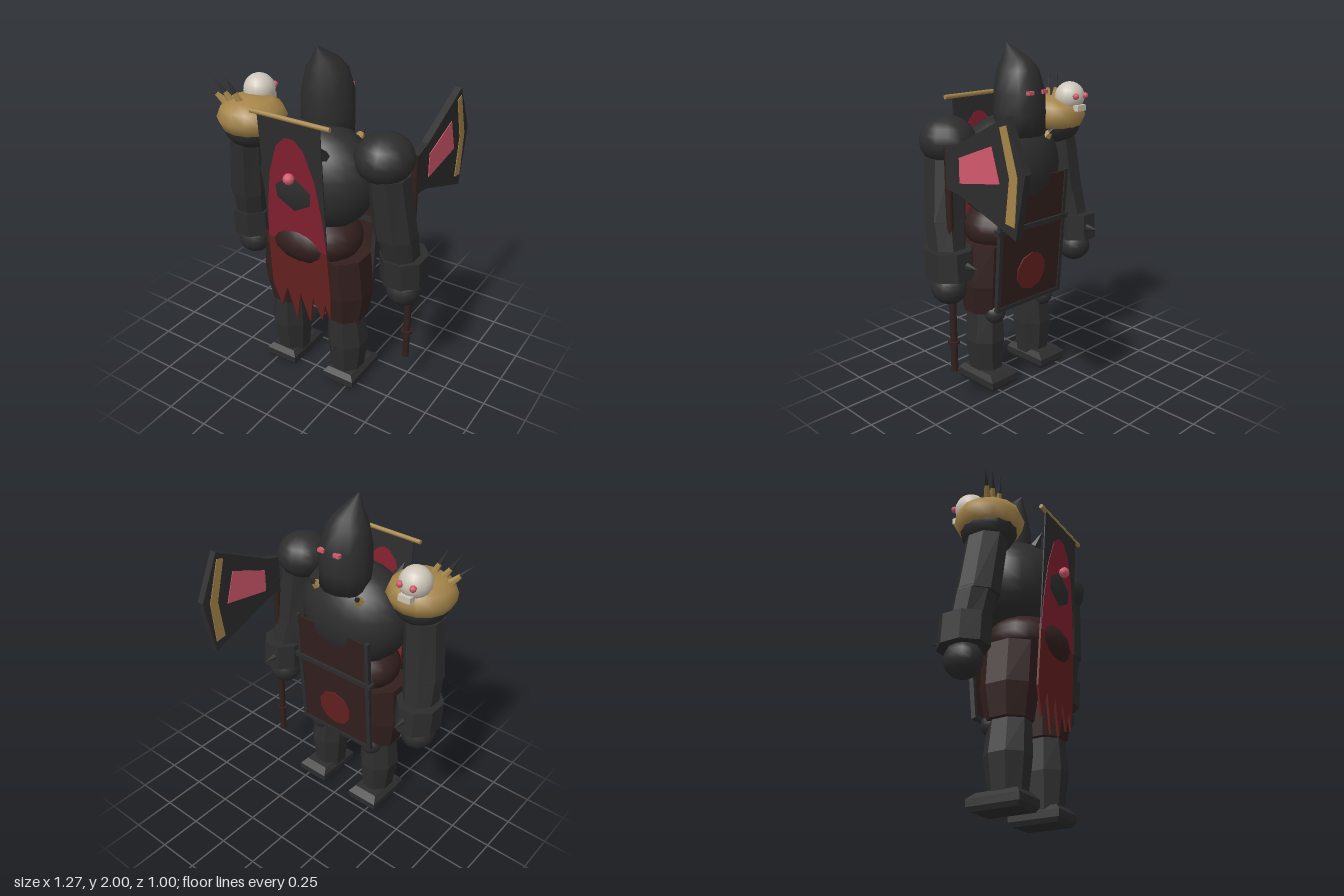
import * as THREE from 'three';

const mat = (name, color, side = THREE.FrontSide) => {
  const m = new THREE.MeshStandardMaterial({ color, side });
  m.name = name;
  return m;
};

export function createModel() {
  const root = new THREE.Group();
  root.name = 'armouredGiant';
  const iron = mat('darkIron', 0x2d2d2e);
  const brown = mat('darkBrown', 0x32201e);
  const gold = mat('oldGold', 0xa5854a);
  const pink = mat('pinkGlow', 0xd2596b);
  const crimson = mat('crimsonCloth', 0x842030, THREE.DoubleSide);
  const darkRed = mat('darkRedCloth', 0x64211f, THREE.DoubleSide);
  const bone = mat('bone', 0xcdc5b8);

  const add = (name, geo, material, pos = [0, 0, 0], parent = root) => {
    const m = new THREE.Mesh(geo, material);
    m.name = name;
    m.position.set(...pos);
    parent.add(m);
    return m;
  };
  const flat = (g) => {
    const f = g.index ? g.toNonIndexed() : g;
    f.computeVertexNormals();
    return f;
  };
  const ball = (rx, ry = rx, rz = rx, w = 16, h = 12) => new THREE.SphereGeometry(1, w, h).scale(rx, ry, rz);
  const box = (w, h, d) => new THREE.BoxGeometry(w, h, d);

  // Closed faceted body through elliptical rings [y, cx, cz, rx, rz], bottom to top
  const loft = (rings, n = 8, smooth = false) => {
    const p = [], idx = [];
    for (const [y, cx, cz, rx, rz] of rings)
      for (let j = 0; j < n; j++) {
        const a = ((j + 0.5) / n) * Math.PI * 2;
        p.push(cx + rx * Math.cos(a), y, cz + rz * Math.sin(a));
      }
    const last = rings.length - 1;
    for (const r of [rings[0], rings[last]]) p.push(r[1], r[0], r[2]);
    const c0 = rings.length * n;
    for (let j = 0; j < n; j++) {
      const k = (j + 1) % n;
      for (let i = 0; i < last; i++) {
        const A = i * n + j, B = i * n + k, C = A + n, D = B + n;
        idx.push(A, C, B, C, D, B);
      }
      idx.push(c0, j, k, c0 + 1, last * n + k, last * n + j);
    }
    const g = new THREE.BufferGeometry();
    g.setAttribute('position', new THREE.Float32BufferAttribute(p, 3));
    g.setIndex(idx);
    g.computeVertexNormals();
    return smooth ? g : flat(g);
  };

  // Flat plate centred on its own plane
  const plate = (pts, depth) => new THREE.ExtrudeGeometry(
    new THREE.Shape(pts.map(([x, y]) => new THREE.Vector2(x, y))),
    { depth, bevelEnabled: false }).translate(0, 0, -depth / 2);

  // Cone from a base point to a tip; the tip part may take another colour
  const spike = (name, from, to, r, base, tip = base) => {
    const a = new THREE.Vector3(...from), b = new THREE.Vector3(...to);
    const dir = b.clone().sub(a), len = dir.length();
    const g = new THREE.Group();
    g.name = name;
    g.position.copy(a);
    g.quaternion.setFromUnitVectors(new THREE.Vector3(0, 1, 0), dir.normalize());
    add(name + 'Base', flat(new THREE.CylinderGeometry(r * 0.55, r, len * 0.45, 6)), base, [0, len * 0.225, 0], g);
    add(name + 'Tip', flat(new THREE.ConeGeometry(r * 0.55, len * 0.55, 6)), tip, [0, len * 0.725, 0], g);
    root.add(g);
  };

  // Body
  add('torso', ball(0.345, 0.31, 0.25, 20, 14), iron, [0, 1.3, 0.2]);
  add('belly', ball(0.275, 0.17, 0.228, 20, 12), brown, [0, 0.95, 0.222]);
  add('pelvis', box(0.36, 0.2, 0.22), brown, [0, 0.8, 0.21]);

  // Hood, its peak leaning to the rear
  add('hood', loft([
    [1.5, 0, 0.1, 0.15, 0.14], [1.62, 0, 0.1, 0.15, 0.145], [1.74, 0, 0.1, 0.145, 0.145],
    [1.86, 0, 0.11, 0.115, 0.118], [1.915, 0, 0.125, 0.075, 0.09], [2, 0, 0.2, 0.004, 0.004],
  ], 12, true), iron);

  // Paired parts
  for (const s of [-1, 1]) {
    const side = s > 0 ? 'left' : 'right';
    add(side + 'Eye', box(0.04, 0.02, 0.025), pink, [s * 0.052, 1.745, -0.038]);
    add(side + 'Foot', loft([
      [0, s * 0.205, 0.175, 0.125, 0.19], [0.025, s * 0.205, 0.175, 0.145, 0.218],
      [0.065, s * 0.205, 0.175, 0.145, 0.218], [0.095, s * 0.205, 0.185, 0.11, 0.17],
    ], 4), iron);
    add(side + 'Shin', loft([
      [0.07, s * 0.195, 0.2, 0.095, 0.105], [0.28, s * 0.2, 0.205, 0.12, 0.13],
      [0.46, s * 0.19, 0.21, 0.105, 0.12],
    ]), iron);
    add(side + 'Knee', ball(0.065), iron, [s * 0.2, 0.46, 0.115]);
    add(side + 'Thigh', loft([
      [0.465, s * 0.19, 0.21, 0.125, 0.13], [0.64, s * 0.195, 0.215, 0.15, 0.16],
      [0.88, s * 0.18, 0.22, 0.145, 0.165],
    ]), brown);
    add(side + 'Shoulder', ball(0.155, 0.135, 0.162, 14, 10), iron, [s * 0.42, 1.505, 0.225]);
    add(side + 'UpperArm', loft([
      [1.07, s * 0.482, 0.195, 0.12, 0.12], [1.42, s * 0.445, 0.225, 0.11, 0.12],
    ]), iron);
    add(side + 'Forearm', loft([
      [0.88, s * 0.505, 0.15, 0.1, 0.11], [1.09, s * 0.485, 0.19, 0.115, 0.115],
    ]), iron);
    add(side + 'Cuff', loft([
      [0.775, s * 0.51, 0.13, 0.132, 0.145], [0.935, s * 0.51, 0.14, 0.132, 0.145],
    ]), iron);
    add(side + 'Hand', ball(0.1, 0.1, 0.105, 12, 10), iron, [s * 0.515, 0.71, 0.135]);
    spike(side + 'CuffSpike', [s * 0.49, 0.855, 0.01], [s * 0.49, 0.855, -0.08], 0.024, iron);
    spike(side + 'BackSpike', [s * 0.15, 1.5, 0.37], [s * 0.165, 1.57, 0.42], 0.032, iron);
    spike(side + 'ChestSpike', [s * 0.15, 1.48, 0.03], [s * 0.16, 1.53, -0.02], 0.03, gold, iron);
  }

  // Pauldron with a row of spikes
  const profile = [[0, 1.45], [0.1, 1.455], [0.165, 1.49], [0.195, 1.55], [0.17, 1.61], [0.115, 1.65], [0, 1.665]];
  add('pauldron', new THREE.LatheGeometry(profile.map(([r, y]) => new THREE.Vector2(r, y)), 14), gold, [-0.415, 0, 0.225]);
  for (const [x, tx, ty] of [[-0.54, -0.64, 1.73], [-0.485, -0.57, 1.775], [-0.425, -0.49, 1.79]])
    spike('pauldronSpike', [x, 1.62, 0.29], [tx, ty, 0.34], 0.024, gold, iron);

  // Skull ornament
  add('skull', ball(0.09), bone, [-0.44, 1.665, 0.12]);
  add('skullJaw', box(0.075, 0.035, 0.05), bone, [-0.44, 1.605, 0.045]);
  for (const x of [-0.482, -0.4]) add('skullEye', ball(0.019, 0.019, 0.019, 8, 6), pink, [x, 1.675, 0.035]);

  // Hanging banner, slightly tilted
  const banner = new THREE.Group();
  banner.name = 'banner';
  banner.position.z = 0.334;
  banner.rotation.x = 0.074;
  root.add(banner);
  add('bannerPanel', plate([[-0.19, 0.9], [0.19, 0.9], [0.19, 1.69], [-0.19, 1.69]], 0.006), iron, [0, 0, 0], banner);
  const arch = [[0.19, 0.96], [0.175, 1.15], [0.14, 1.38], [0.085, 1.54], [0.035, 1.59]];
  add('bannerArch', plate([...arch, [0, 1.6], ...arch.map(([x, y]) => [-x, y]).reverse()], 0.012), crimson, [0, 0, 0], banner);
  const teeth = [[-0.195, 0.64], [-0.145, 0.48], [-0.095, 0.63], [-0.04, 0.42], [-0.005, 0.62],
    [0.05, 0.43], [0.08, 0.62], [0.135, 0.48], [0.16, 0.6], [0.19, 0.5], [0.2, 0.66]];
  add('bannerFringe', plate([...teeth, [0.19, 0.96], [-0.19, 0.96]], 0.012), darkRed, [0, 0, 0], banner);
  add('bannerRod', new THREE.CylinderGeometry(0.013, 0.013, 0.48, 8).rotateZ(Math.PI / 2), gold, [0.005, 1.695, 0.455]);
  add('bannerGem', ball(0.031, 0.031, 0.031, 8, 6), pink, [0, 1.375, 0.469]);

  // Framed tabard plate with a disc
  const tabard = new THREE.Group();
  tabard.name = 'tabard';
  tabard.position.set(0, 0.5, 0.035);
  tabard.rotation.x = -0.075;
  root.add(tabard);
  add('tabardPanel', box(0.5, 0.76, 0.014), brown, [0, 0.39, 0], tabard);
  for (const s of [-1, 1]) add('tabardSideFrame', box(0.025, 0.78, 0.026), iron, [s * 0.25, 0.39, 0], tabard);
  add('tabardBottomFrame', box(0.52, 0.025, 0.026), iron, [0, 0.012, 0], tabard);
  add('tabardBelt', box(0.56, 0.03, 0.04), iron, [0, 0.49, 0], tabard);
  add('tabardDisc', new THREE.CylinderGeometry(0.115, 0.115, 0.008, 10).rotateX(Math.PI / 2), darkRed, [0, 0.2, -0.011], tabard);

  // Axe, drawn as [z, y] outlines and stood across x
  const axe = new THREE.Group();
  axe.name = 'axe';
  axe.position.x = 0.525;
  root.add(axe);
  const blade = (name, pts, depth, m) =>
    add(name, plate(pts.map(([z, y]) => [-z, y]), depth).rotateY(Math.PI / 2), m, [0, 0, 0], axe);
  blade('axeBlade', [[0.1, 1.28], [0, 1.27], [-0.43, 1.115], [-0.495, 1.45], [-0.37, 1.715], [0, 1.53], [0.1, 1.5]], 0.04, iron);
  blade('axeInset', [[-0.02, 1.33], [-0.32, 1.38], [-0.265, 1.56], [-0.02, 1.465]], 0.048, pink);
  blade('axeStripe', [[-0.36, 1.19], [-0.425, 1.18], [-0.445, 1.43], [-0.37, 1.675], [-0.325, 1.66], [-0.39, 1.42]], 0.048, gold);
  add('axeShaft', new THREE.CylinderGeometry(0.02, 0.02, 1.29, 8), brown, [0.002, 0.855, 0.095], axe);
  add('axeShaftRing', new THREE.CylinderGeometry(0.034, 0.034, 0.015, 8), brown, [0.002, 0.39, 0.095], axe);

  return root;
}
